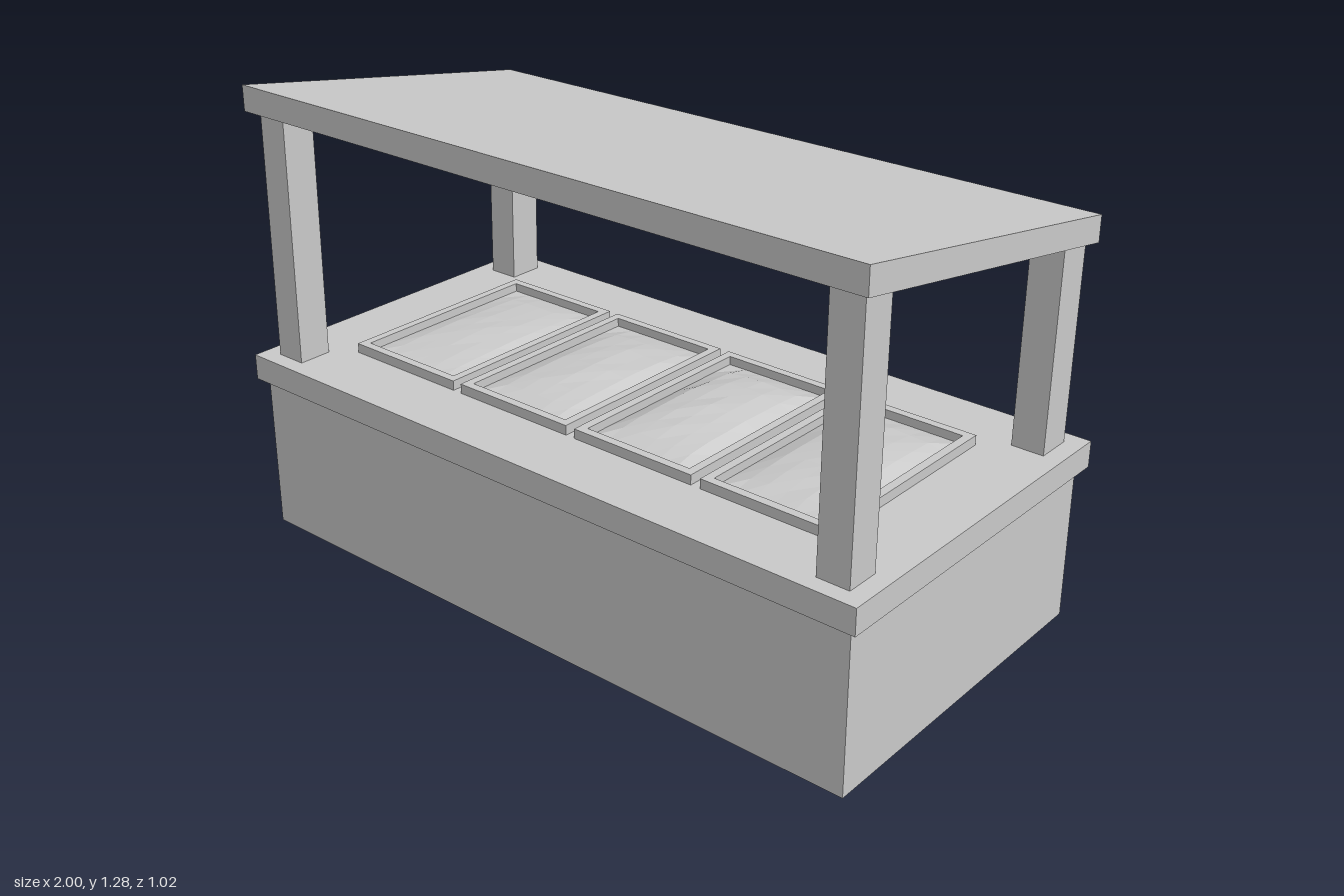
import * as THREE from 'three';

const material = new THREE.MeshStandardMaterial({ color: 0xcccccc, flatShading: true, side: THREE.DoubleSide });

function addMesh(parent, name, geometry) {
  const mesh = new THREE.Mesh(geometry, material);
  mesh.name = name;
  parent.add(mesh);
  return mesh;
}

// Box between limits; bottom and top may be functions of z, lean shifts the top in z
function slopedBox(x0, x1, z0, z1, bottom, top, lean = 0) {
  const g = new THREE.BoxGeometry(x1 - x0, 1, z1 - z0);
  g.translate((x0 + x1) / 2, 0, (z0 + z1) / 2);
  const p = g.attributes.position;
  for (let i = 0; i < p.count; i++) {
    const isTop = p.getY(i) > 0;
    const z = p.getZ(i) + (isTop ? lean : 0);
    p.setZ(i, z);
    p.setY(i, isTop ? top(z) : bottom(z));
  }
  g.computeVertexNormals();
  return g;
}

// Raised rectangular rim with an open middle
function rimGeometry(w, d, t, h) {
  const rect = (Type, a, b) => new Type([[-a, -b], [a, -b], [a, b], [-a, b]].map(([x, y]) => new THREE.Vector2(x, y)));
  const shape = rect(THREE.Shape, w / 2, d / 2);
  shape.holes.push(rect(THREE.Path, w / 2 - t, d / 2 - t));
  return new THREE.ExtrudeGeometry(shape, { depth: h, bevelEnabled: false }).rotateX(-Math.PI / 2);
}

// Gently heaped, faceted filling
function fillingGeometry(w, d, height, seed) {
  let s = seed;
  const random = () => (s = (s * 16807) % 2147483647) / 2147483647;
  const g = new THREE.PlaneGeometry(w, d, 6, 8).rotateX(-Math.PI / 2);
  const p = g.attributes.position;
  for (let i = 0; i < p.count; i++) {
    const u = Math.cos((p.getX(i) / w) * Math.PI);
    const v = Math.cos((p.getZ(i) / d) * Math.PI);
    const dome = Math.sqrt(Math.max(0, u * v));
    p.setY(i, height * dome * (0.85 + 0.15 * random()));
  }
  g.computeVertexNormals();
  return g;
}

export function createModel() {
  const model = new THREE.Group();
  model.name = 'servingCounter';
  const flat = (y) => () => y;
  const roofUnder = (z) => 1.128 + 0.169 * z;

  // Cabinet and worktop
  addMesh(model, 'cabinet', slopedBox(-0.975, 0.975, -0.488, 0.488, (z) => 0.008 - 0.016 * z, flat(0.446)));
  addMesh(model, 'worktop', slopedBox(-1, 1, -0.51, 0.51, flat(0.446), flat(0.518)));

  // Four slightly leaning posts reaching into the sloped roof
  for (const side of [-1, 1]) {
    const x0 = side < 0 ? -0.95 : 0.86;
    const top = (z) => roofUnder(z) + 0.005;
    addMesh(model, 'frontPost', slopedBox(x0, x0 + 0.09, 0.367, 0.463, flat(0.51), top, -0.006));
    addMesh(model, 'backPost', slopedBox(x0, x0 + 0.09, -0.463, -0.361, flat(0.51), top, -0.008));
  }

  // Roof slab, high at the front
  addMesh(model, 'roof', slopedBox(-0.975, 0.975, -0.488, 0.488, roofUnder, (z) => roofUnder(z) + 0.071));

  // Row of four trays with fillings
  const heaps = [0.022, 0.029, 0.038, 0.032];
  heaps.forEach((heap, i) => {
    const tray = new THREE.Group();
    tray.name = 'tray';
    tray.position.set(-0.608 + i * 0.404, 0.516, 0.005);
    addMesh(tray, 'trayRim', rimGeometry(0.376, 0.62, 0.024, 0.029));
    addMesh(tray, 'trayFilling', fillingGeometry(0.33, 0.574, heap, 17 + i * 101)).position.y = 0.005;
    model.add(tray);
  });

  return model;
}
